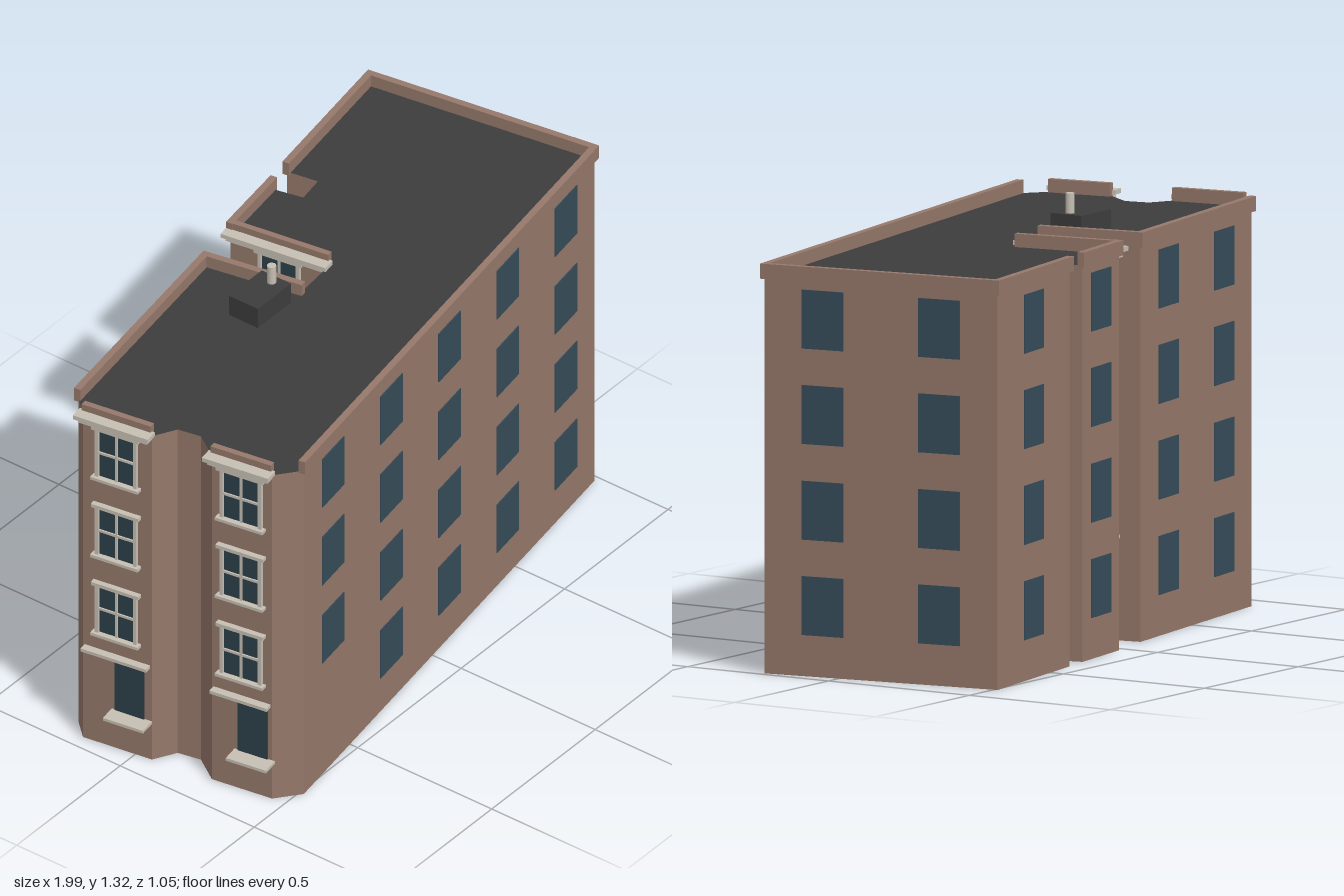
import * as THREE from 'three';

const mat = (name, color) => {
  const m = new THREE.MeshStandardMaterial({ color });
  m.name = name;
  return m;
};

// Footprint corners (x, z), anticlockwise seen from above
const FOOT = [
  [-0.78, 0.515], [0.982, 0.24], [0.868, -0.512], [0.37, -0.435],
  [0.387, -0.333], [0.297, -0.318], [0.275, -0.418], [0.03, -0.383],
  [0.08, -0.052], [-0.085, -0.033], [-0.143, -0.345], [-0.9, -0.233],
  [-0.953, -0.175], [-0.918, 0.055], [-0.845, 0.095], [-0.83, 0.17],
  [-0.887, 0.255], [-0.855, 0.455],
];
const ROWS = [0.211, 0.496, 0.782, 1.067]; // window centre heights
const WIN_W = 0.135, WIN_H = 0.176, ROOF_Y = 1.185;

export function createModel() {
  const brick = mat('brick', 0x95786a);
  const roofing = mat('roofing', 0x3d3d3d);
  const glass = mat('glass', 0x364c59);
  const darkGlass = mat('darkGlass', 0x2c3e49);
  const trim = mat('trim', 0xc6bfb3);

  const model = new THREE.Group();
  model.name = 'apartmentBuilding';

  // Box centred on x and y, its back face on z0
  const box = (parent, name, m, w, h, d, x, y, z0 = 0) => {
    const mesh = new THREE.Mesh(new THREE.BoxGeometry(w, h, d), m);
    mesh.name = name;
    mesh.position.set(x, y, z0 + d / 2);
    parent.add(mesh);
    return mesh;
  };

  // Main block: caps are roofing, sides are brick
  const shape = new THREE.Shape(FOOT.map(([x, z]) => new THREE.Vector2(x, -z)));
  const body = new THREE.Mesh(
    new THREE.ExtrudeGeometry(shape, { depth: ROOF_Y, bevelEnabled: false }).rotateX(-Math.PI / 2),
    [roofing, brick]);
  body.name = 'walls';
  model.add(body);

  // Wall frame: x runs along the wall, y up, z outward
  const wall = (i) => {
    const [x0, z0] = FOOT[i], [x1, z1] = FOOT[(i + 1) % FOOT.length];
    const g = new THREE.Group();
    g.position.set(x0, 0, z0);
    g.rotation.y = Math.atan2(z0 - z1, x1 - x0);
    g.userData.length = Math.hypot(x1 - x0, z1 - z0);
    model.add(g);
    return g;
  };

  // Sash window with cream frame, glazing bars, lintel and sill
  const sashWindow = (g, x, y) => {
    const s = new THREE.Group();
    s.name = 'sashWindow';
    s.position.set(x, y, 0);
    g.add(s);
    box(s, 'pane', darkGlass, WIN_W, WIN_H, 0.004, 0, 0);
    for (const k of [-1, 1]) box(s, 'jamb', trim, 0.011, WIN_H, 0.012, k * (WIN_W / 2 - 0.003), 0);
    box(s, 'mullion', trim, 0.008, WIN_H, 0.009, 0, 0);
    box(s, 'meetingRail', trim, WIN_W, 0.008, 0.009, 0, 0);
    box(s, 'lintel', trim, WIN_W + 0.025, 0.012, 0.018, 0, WIN_H / 2 + 0.003);
    box(s, 'sill', trim, WIN_W + 0.025, 0.01, 0.022, 0, -WIN_H / 2 - 0.003);
  };

  // Plain walls: [edge index, window columns]
  for (const [i, cols] of [[0, 5], [1, 2], [2, 1], [6, 1], [9, 1], [10, 2]]) {
    const g = wall(i), len = g.userData.length;
    g.name = 'plainWall';
    box(g, 'parapet', brick, len + 0.02, 0.045, 0.022, len / 2, 1.2025, -0.012);
    for (let c = 0; c < cols; c++) {
      ROWS.forEach((y, r) => {
        if (i === 0 && c === 0 && r === 0) return;
        box(g, 'window', glass, WIN_W, WIN_H, 0.003, (c + 0.5) / cols * len, y);
      });
    }
  }

  // Ornate walls: two street bays and the courtyard side
  for (const i of [7, 12, 16]) {
    const g = wall(i), len = g.userData.length, court = i === 7;
    g.name = 'ornateWall';
    box(g, 'parapet', brick, len, 0.045, 0.02, len / 2, 1.2025, -0.012);
    box(g, 'upperCornice', trim, len + 0.02, 0.014, 0.044, len / 2, 1.196);
    box(g, 'lowerCornice', trim, len, 0.012, 0.03, len / 2, 1.178);
    for (const y of ROWS.slice(court ? 0 : 1)) sashWindow(g, len / 2, y);
    // Entrance with hood and landing slab
    const doorX = len * (court ? 0.84 : 0.68), doorW = court ? 0.07 : 0.1;
    box(g, 'door', darkGlass, doorW, 0.19, 0.004, doorX, 0.23);
    box(g, 'hood', trim, len * 0.95, 0.011, 0.025, len / 2, 0.337);
    box(g, 'landing', trim, court ? 0.12 : 0.135, 0.01, 0.055, len * (court ? 0.82 : 0.71), 0.135);
  }

  // Rooftop housing and flue
  box(model, 'roofHousing', roofing, 0.16, 0.075, 0.108, -0.22, 1.2175, -0.135);
  const flue = new THREE.Mesh(new THREE.CylinderGeometry(0.014, 0.014, 0.065, 12), trim);
  flue.name = 'flue';
  flue.position.set(-0.168, 1.283, -0.077);
  model.add(flue);

  return model;
}
